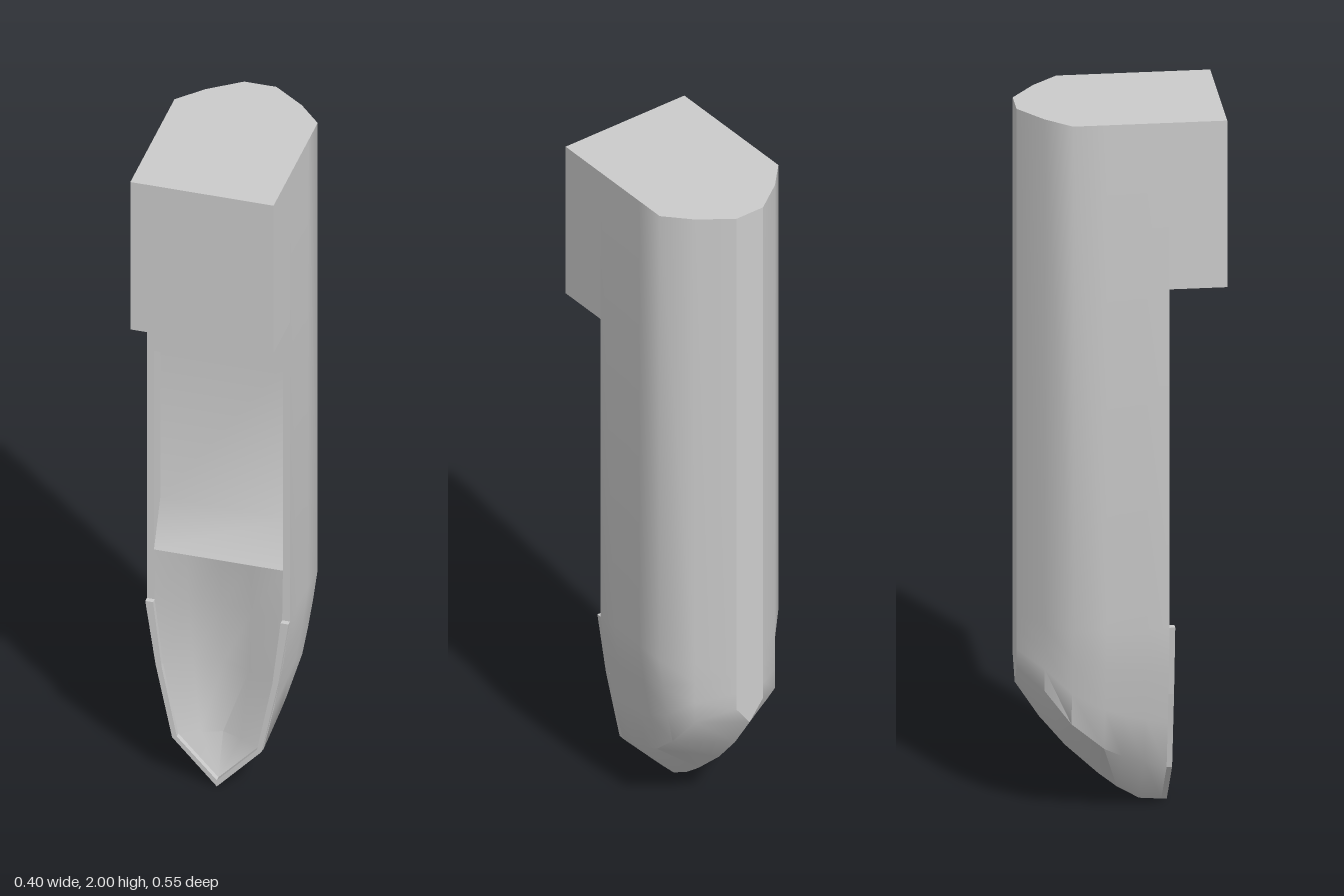
import * as THREE from 'three';
import { toCreasedNormals } from 'three/addons/utils/BufferGeometryUtils.js';

const FRONT = 0.12;
// [z, half width, chine height, keel height] from back to front
const STATIONS = [
  [-0.275, 0.045, 0.41, 0.35], [-0.21, 0.135, 0.37, 0.25], [-0.14, 0.2, 0.28, 0.165],
  [-0.05, 0.2, 0.2, 0.08], [0, 0.2, 0.175, 0.04], [0.06, 0.2, 0.155, 0.005], [FRONT, 0.2, 0.135, 0],
];

// half width of the tapering lower end at height y
function taper(y) {
  const u = Math.max(0, (0.56 - y) / 0.43);
  return 0.2 - 0.05 * u - 0.025 * u * u;
}

// closed outline of one station, counter-clockwise seen from the front
function section([, h, chine, keel]) {
  const side = [[h, 2], [h, 0.56]];
  for (const t of [0.33, 0.67, 1]) {
    const y = 0.56 + (chine - 0.56) * t;
    side.push([Math.min(h, taper(y)), y]);
  }
  return [...side.map(([x, y]) => [-x, y]), [0, keel], ...side.reverse()];
}

// surface through rows of equal length
function loft(rows, closed = false) {
  const n = rows[0].length, index = [];
  for (let s = 0; s < rows.length - 1; s++) {
    for (let i = 0; i < (closed ? n : n - 1); i++) {
      const a = s * n + i, b = s * n + (i + 1) % n;
      index.push(a, b, b + n, a, b + n, a + n);
    }
  }
  const geo = new THREE.BufferGeometry();
  geo.setAttribute('position', new THREE.Float32BufferAttribute(rows.flat(2), 3));
  geo.setIndex(index);
  return toCreasedNormals(geo, 0.8);
}

const outline = (points) => new THREE.Shape(points.map(([x, y]) => new THREE.Vector2(x, y)));
const mirrored = (side) => [...side, ...side.filter(([x]) => x > 0).reverse().map(([x, y]) => [-x, y])];

export function createModel() {
  const group = new THREE.Group();
  const material = new THREE.MeshStandardMaterial({ color: 0xcccccc, side: THREE.DoubleSide });
  const add = (name, geometry, z = 0) => {
    const mesh = new THREE.Mesh(geometry, material);
    mesh.name = name;
    mesh.position.z = z;
    group.add(mesh);
  };

  // long shell with rounded back and keeled lower end
  add('bodyShell', loft(STATIONS.map((s) => section(s).map(([x, y]) => [x, y, s[0]])), true));
  const back = new THREE.ShapeGeometry(outline(section(STATIONS[0])));
  back.rotateY(Math.PI);
  add('backStrip', back, STATIONS[0][0]);

  // front face, opened for the window and the scoop
  const scoopSide = [[0.18, 0.72], [0.178, 0.56], [0.155, 0.36], [0.112, 0.14], [0, 0.02]];
  const face = outline(section(STATIONS.at(-1)));
  face.holes.push(outline(mirrored([[0.18, 1.36], ...scoopSide])));
  add('frontFace', new THREE.ShapeGeometry(face), FRONT);

  // window recess: ceiling, back wall and ramp
  const deep = 0.06;
  const profile = [[0.72, FRONT], [0.85, deep], [1.36, deep], [1.36, FRONT]];
  add('windowRecess', loft(profile.map(([y, z]) => [[-0.18, y, z], [0.18, y, z]])));
  for (const x of [-0.18, 0.18]) {
    const wall = new THREE.ShapeGeometry(outline(profile.map(([y, z]) => [-z, y])));
    wall.rotateY(Math.PI / 2);
    wall.translate(x, 0, 0);
    add(x > 0 ? 'windowWallLeft' : 'windowWallRight', wall);
  }

  // V-shaped scoop running down to the tip
  const depths = [0.12, 0.085, 0.07, 0.075, 0.12];
  add('scoop', loft(scoopSide.map(([x, y], i) => [
    [x, y, FRONT], [x / 2, y, (FRONT + depths[i]) / 2], [0, y, depths[i]],
    [-x / 2, y, (FRONT + depths[i]) / 2], [-x, y, FRONT],
  ])));

  // thin raised rim around the scoop
  const rim = outline(mirrored([[0.2, 0.56], [0.171, 0.36], [0.125, 0.135], [0, 0]]));
  rim.holes.push(outline(mirrored(scoopSide.slice(1).map(([x, y]) => [x, y === 0.56 ? 0.5601 : y]))));
  const rimSides = new THREE.Group();
  rimSides.name = 'scoopRim';
  for (const s of [1, -1]) {
    const outer = [[0.2, 0.56], [0.171, 0.36], [0.125, 0.135], [0, 0]];
    const half = [...outer, ...scoopSide.slice(1).reverse()].map(([x, y]) => [x * s, y]);
    const geo = new THREE.ExtrudeGeometry(outline(half), { depth: 0.015, bevelEnabled: false });
    const mesh = new THREE.Mesh(geo, material);
    mesh.name = s > 0 ? 'rimLeft' : 'rimRight';
    mesh.position.z = FRONT;
    rimSides.add(mesh);
  }
  group.add(rimSides);

  // overhanging head block
  const head = new THREE.BoxGeometry(0.4, 0.475, 0.155);
  head.translate(0, 1.7625, FRONT + 0.0775);
  add('headBlock', head);

  return group;
}
